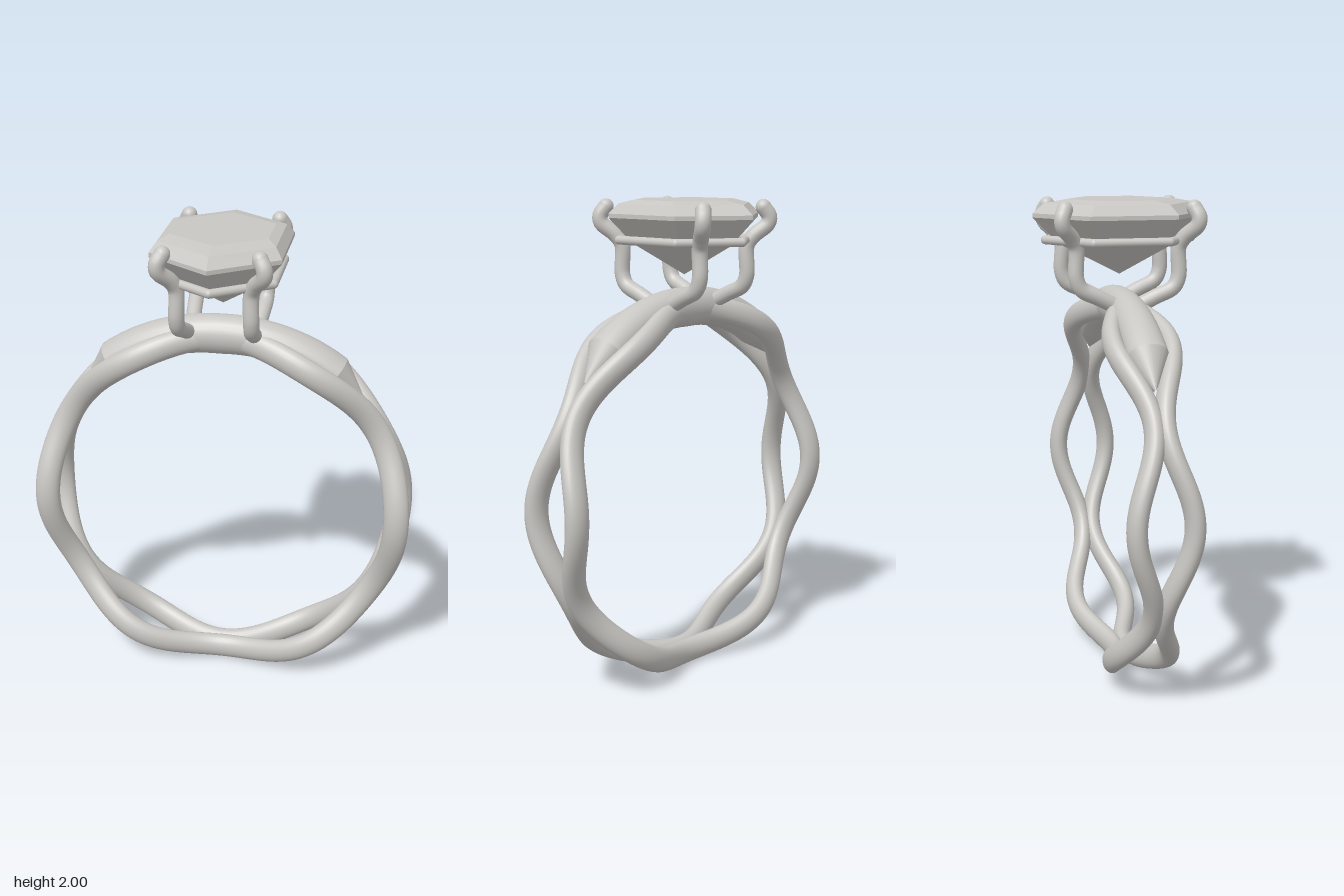
import * as THREE from 'three';

const CY = 0.802;   // height of the band's centre
const R = 0.748;    // band centreline radius
const DEG = Math.PI / 180;

// Surface through rows of points; each row is a closed loop
function loft(rows, closed = false, flat = false) {
  const n = rows[0].length, m = rows.length, index = [];
  for (let i = 0; i < (closed ? m : m - 1); i++) {
    for (let j = 0; j < n; j++) {
      const k = (j + 1) % n, a = i * n, b = ((i + 1) % m) * n;
      index.push(a + j, a + k, b + j, a + k, b + k, b + j);
    }
  }
  let g = new THREE.BufferGeometry();
  g.setAttribute('position', new THREE.Float32BufferAttribute(rows.flat(2), 3));
  g.setIndex(index);
  if (flat) g = g.toNonIndexed();
  g.computeVertexNormals();
  return g;
}

// Oval section at an angle measured from the top of the ring
function oval(angle, r, halfR, z, halfZ, n = 24) {
  return Array.from({ length: n }, (_, j) => {
    const p = (j / n) * Math.PI * 2, q = r + halfR * Math.cos(p);
    return [q * Math.sin(angle), CY + q * Math.cos(angle), z + halfZ * Math.sin(p)];
  });
}

function hexagon(x, z, side, y) {
  return [[x, y, side], [0, y, z], [-x, y, side], [-x, y, -side], [0, y, -z], [x, y, -side]];
}

export function createModel() {
  const model = new THREE.Group();
  model.name = 'ring';
  const metal = new THREE.MeshStandardMaterial({ color: 0xc8c6c2 });
  metal.name = 'pale grey';
  const add = (name, geometry, parent = model) => {
    const mesh = new THREE.Mesh(geometry, metal);
    mesh.name = name;
    parent.add(mesh);
    return mesh;
  };

  // Two wavy strands that meet six times around the band
  for (const s of [1, -1]) {
    const rows = [];
    for (let i = 0; i < 240; i++) {
      const a = (i / 240) * Math.PI * 2;
      const z = 0.0685 - 0.0455 * Math.cos(6 * a);
      const h = 0.04 * Math.hypot(1, 0.36 * Math.sin(6 * a));
      rows.push(oval(a, R, 0.053, s * z, h));
    }
    add(s > 0 ? 'frontStrand' : 'backStrand', loft(rows, true));
  }

  // Thick bridge between the strands at the top, with pointed ends
  const bridgeRow = (deg) => {
    const t = Math.abs(deg) / 37;
    return oval(deg * DEG, 0.753 + 0.017 * t, 0.083 - 0.009 * t, 0, 0.075 + 0.01 * t);
  };
  const body = [];
  for (let d = -37; d <= 37; d += 2) body.push(bridgeRow(d));
  add('bridge', loft(body));
  const tip = (s) => oval(s * 49 * DEG, 0.765, 0.012, 0, 0.003);
  add('bridgeTipLeft', loft([bridgeRow(37), tip(1)]));
  add('bridgeTipRight', loft([tip(-1), bridgeRow(-37)]));

  // Four prongs bent out around the stone and curled in at the tips
  const prongPath = [
    [0.135, 1.575, 0.05], [0.142, 1.61, 0.12], [0.147, 1.645, 0.19], [0.148, 1.69, 0.212],
    [0.148, 1.81, 0.212], [0.165, 1.85, 0.232], [0.205, 1.9, 0.276], [0.207, 1.93, 0.28], [0.188, 1.967, 0.264]
  ];
  for (const sx of [1, -1]) for (const sz of [1, -1]) {
    const prong = new THREE.Group();
    prong.name = (sz > 0 ? 'front' : 'back') + (sx > 0 ? 'Left' : 'Right') + 'Prong';
    const pts = prongPath.map(([x, y, z]) => new THREE.Vector3(sx * x, y, sz * z));
    const curve = new THREE.CatmullRomCurve3(pts, false, 'centripetal');
    add('prongWire', new THREE.TubeGeometry(curve, 48, 0.032, 16), prong);
    for (const p of [pts[0], pts[pts.length - 1]]) {
      add('prongEnd', new THREE.SphereGeometry(0.032, 16, 12), prong).position.copy(p);
    }
    model.add(prong);
  }

  // Six-sided support wire under the stone
  const wire = new THREE.Group();
  wire.name = 'supportWire';
  const corners = hexagon(0.225, 0.308, 0.155, 1.835).map((p) => new THREE.Vector3(...p));
  corners.forEach((p, i) => {
    const q = corners[(i + 1) % 6];
    const rod = add('wireSide', new THREE.CylinderGeometry(0.018, 0.018, p.distanceTo(q), 14, 1, true), wire);
    rod.position.copy(p).add(q).multiplyScalar(0.5);
    rod.quaternion.setFromUnitVectors(new THREE.Vector3(0, 1, 0), q.clone().sub(p).normalize());
    add('wireCorner', new THREE.SphereGeometry(0.018, 14, 10), wire).position.copy(p);
  });
  model.add(wire);

  // Faceted stone, from the table down to its point
  add('stone', loft([
    hexagon(0, 0, 0, 1.997),
    hexagon(0.195, 0.222, 0.1, 1.997),
    hexagon(0.232, 0.312, 0.152, 1.982),
    hexagon(0.26, 0.36, 0.18, 1.942),
    hexagon(0.26, 0.36, 0.18, 1.925),
    hexagon(0.175, 0.255, 0.125, 1.82),
    hexagon(0, 0, 0, 1.69)
  ], false, true));

  return model;
}
